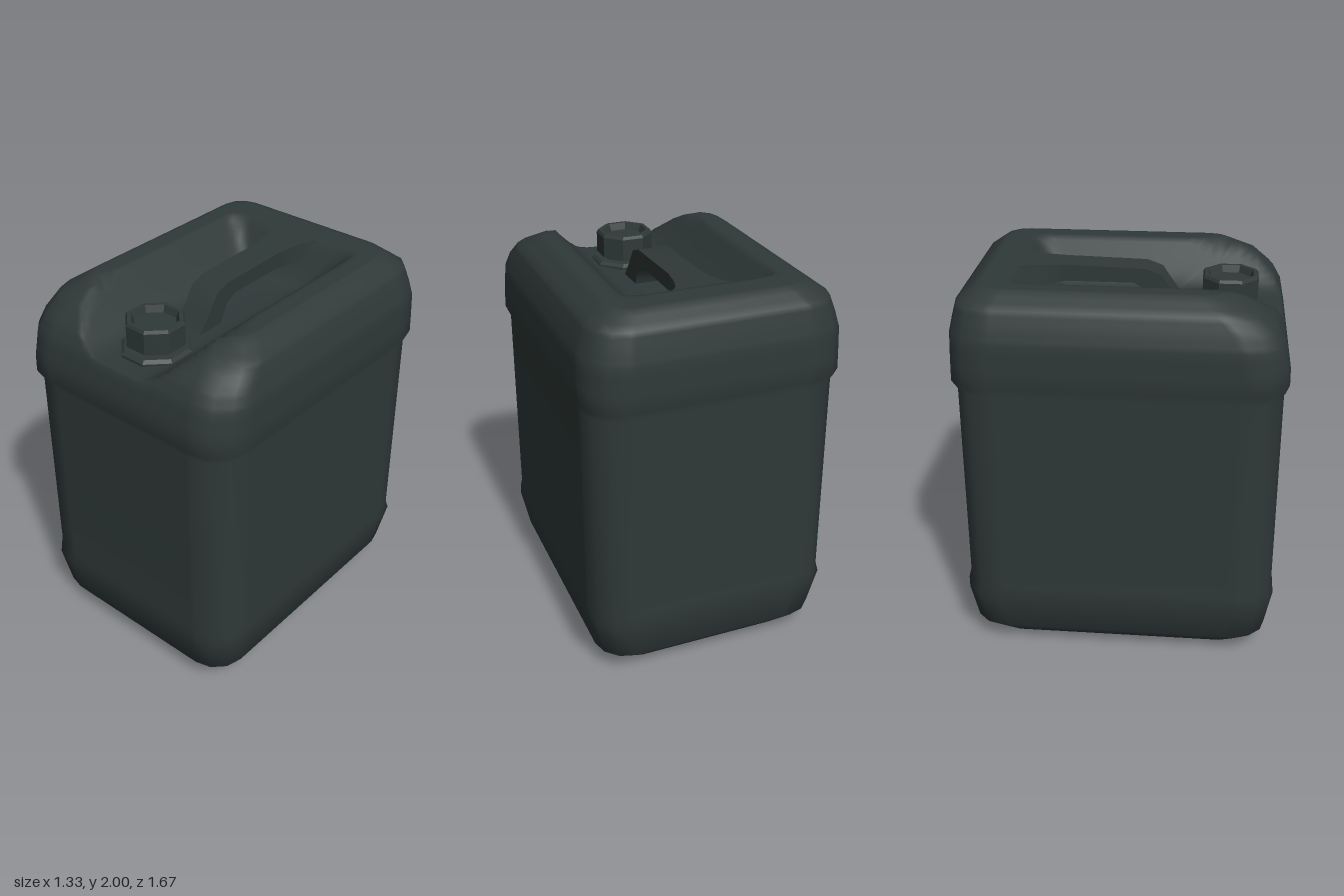
import * as THREE from 'three';

// Body rings from the ground up: height, half width, front z, back z, corner radius
const RINGS = [
  [0, 0.38, 0.57, -0.57, 0.1],
  [0.02, 0.515, 0.69, -0.69, 0.14],
  [0.12, 0.615, 0.79, -0.79, 0.17],
  [0.33, 0.657, 0.825, -0.825, 0.18],
  [0.38, 0.648, 0.813, -0.813, 0.18],
  [1.5, 0.645, 0.81, -0.81, 0.18],
  [1.55, 0.666, 0.834, -0.835, 0.18],
  [1.64, 0.664, 0.832, -0.833, 0.18],
  [1.77, 0.66, 0.805, -0.828, 0.18],
  [1.85, 0.638, 0.76, -0.81, 0.17],
  [1.93, 0.61, 0.67, -0.79, 0.16],
  [2, 0.51, 0.53, -0.7, 0.12],
];
const FLOOR = 1.78;

// Height limit of the handle recess, which is open towards the front
function recess(x, z) {
  const side = (Math.abs(x) - 0.2) * 1.1;
  const back = (-0.38 - z) * 1.4;
  const k = 0.03; // rounds the inner corners
  return FLOOR + k * Math.log((1 + Math.exp(side / k) + Math.exp(back / k))) - k * 0.1;
}

// Rounded rectangle with three-sided corners and subdivided straight sides
function outline([y, hx, zf, zb, r]) {
  const corners = [[hx - r, zf - r], [-hx + r, zf - r], [-hx + r, zb + r], [hx - r, zb + r]];
  const key = [];
  corners.forEach(([cx, cz], c) => {
    for (let i = 0; i <= 3; i++) {
      const a = (c + i / 3) * Math.PI / 2;
      key.push([cx + r * Math.cos(a), cz + r * Math.sin(a)]);
    }
  });
  const points = [];
  key.forEach(([x, z], i) => {
    const [nx, nz] = key[(i + 1) % key.length];
    const steps = i % 4 === 3 ? 28 : 1;
    for (let s = 0; s < steps; s++) {
      points.push([x + (nx - x) * s / steps, y, z + (nz - z) * s / steps]);
    }
  });
  return points;
}

function bodyGeometry() {
  const rings = [];
  RINGS.forEach((ring, i) => {
    rings.push(outline(ring));
    const next = RINGS[i + 1];
    // extra rings where the recess cuts through the shoulder
    if (next && ring[0] >= 1.64) {
      for (const t of [1 / 3, 2 / 3]) rings.push(outline(ring.map((v, k) => v + (next[k] - v) * t)));
    }
  });
  // top surface, shrinking towards the centre
  const rim = rings[rings.length - 1];
  const topSteps = 32;
  for (let i = 1; i < topSteps; i++) {
    const s = 1 - i / topSteps;
    rings.push(rim.map(([x, y, z]) => [x * s, y, z * s]));
  }
  const n = rim.length;
  const pos = [];
  const index = [];
  rings.forEach((ring) => ring.forEach(([x, y, z]) => {
    pos.push(x, y > 1.6 ? Math.min(y, recess(x, z)) : y, z);
  }));
  for (let i = 0; i < rings.length - 1; i++) {
    for (let j = 0; j < n; j++) {
      const a = i * n + j, b = i * n + (j + 1) % n;
      index.push(a, a + n, b + n, a, b + n, b);
    }
  }
  // close the bottom and the top
  const bottom = rings.length * n, top = bottom + 1, last = (rings.length - 1) * n;
  pos.push(0, 0, 0, 0, recess(0, 0), 0);
  for (let j = 0; j < n; j++) {
    const k = (j + 1) % n;
    index.push(bottom, j, k, top, last + k, last + j);
  }
  const g = new THREE.BufferGeometry();
  g.setAttribute('position', new THREE.Float32BufferAttribute(pos, 3));
  g.setIndex(index);
  g.computeVertexNormals();
  return g;
}

// Handle sections from back to front: top z, top y, underside z, underside y, half width
const HANDLE = [
  [-0.55, 1.997, -0.55, 1.83, 0.16],
  [-0.5, 1.995, -0.48, 1.87, 0.12],
  [-0.42, 1.99, -0.4, 1.895, 0.095],
  [-0.31, 1.99, -0.31, 1.905, 0.08],
  [0.1, 1.98, 0.04, 1.905, 0.08],
  [0.18, 1.95, 0.1, 1.87, 0.08],
  [0.24, 1.86, 0.14, 1.8, 0.08],
  [0.32, 1.76, 0.15, 1.74, 0.08],
];

function handleGeometry() {
  const rings = HANDLE.map(([tz, ty, bz, by, w]) => [[-w, ty, tz], [w, ty, tz], [w, by, bz], [-w, by, bz]]);
  const pos = [];
  const index = [];
  // each of the four sides has its own vertices, so its edges stay sharp
  for (let side = 0; side < 4; side++) {
    const base = pos.length / 3;
    rings.forEach((r) => pos.push(...r[side], ...r[(side + 1) % 4]));
    for (let i = 0; i < rings.length - 1; i++) {
      const a = base + i * 2;
      index.push(a, a + 2, a + 3, a, a + 3, a + 1);
    }
  }
  const g = new THREE.BufferGeometry();
  g.setAttribute('position', new THREE.Float32BufferAttribute(pos, 3));
  g.setIndex(index);
  g.computeVertexNormals();
  return g;
}

// Eight-sided turned part with flat faces
function octagon(profile) {
  const points = profile.map(([r, y]) => new THREE.Vector2(r, y));
  const g = new THREE.LatheGeometry(points, 8, Math.PI / 8).toNonIndexed();
  g.computeVertexNormals();
  return g;
}

export function createModel() {
  const plastic = new THREE.MeshStandardMaterial({ color: 0x2f3938 });
  plastic.name = 'darkPlastic';
  const model = new THREE.Group();
  model.name = 'canister';
  const add = (name, geometry, z = 0) => {
    const mesh = new THREE.Mesh(geometry, plastic);
    mesh.name = name;
    mesh.position.z = z;
    model.add(mesh);
  };

  add('body', bodyGeometry());
  add('handle', handleGeometry());

  // Spout with collar, and the screw cap with its sunken lid
  add('spoutCollar', octagon([[0.182, 1.75], [0.182, 1.79], [0.165, 1.805], [0.12, 1.805], [0.12, 1.85]]), 0.53);
  add('cap', octagon([
    [0.12, 1.82], [0.152, 1.825], [0.152, 1.935], [0.143, 1.95],
    [0.122, 1.95], [0.108, 1.915], [0, 1.915],
  ]), 0.53);
  return model;
}
